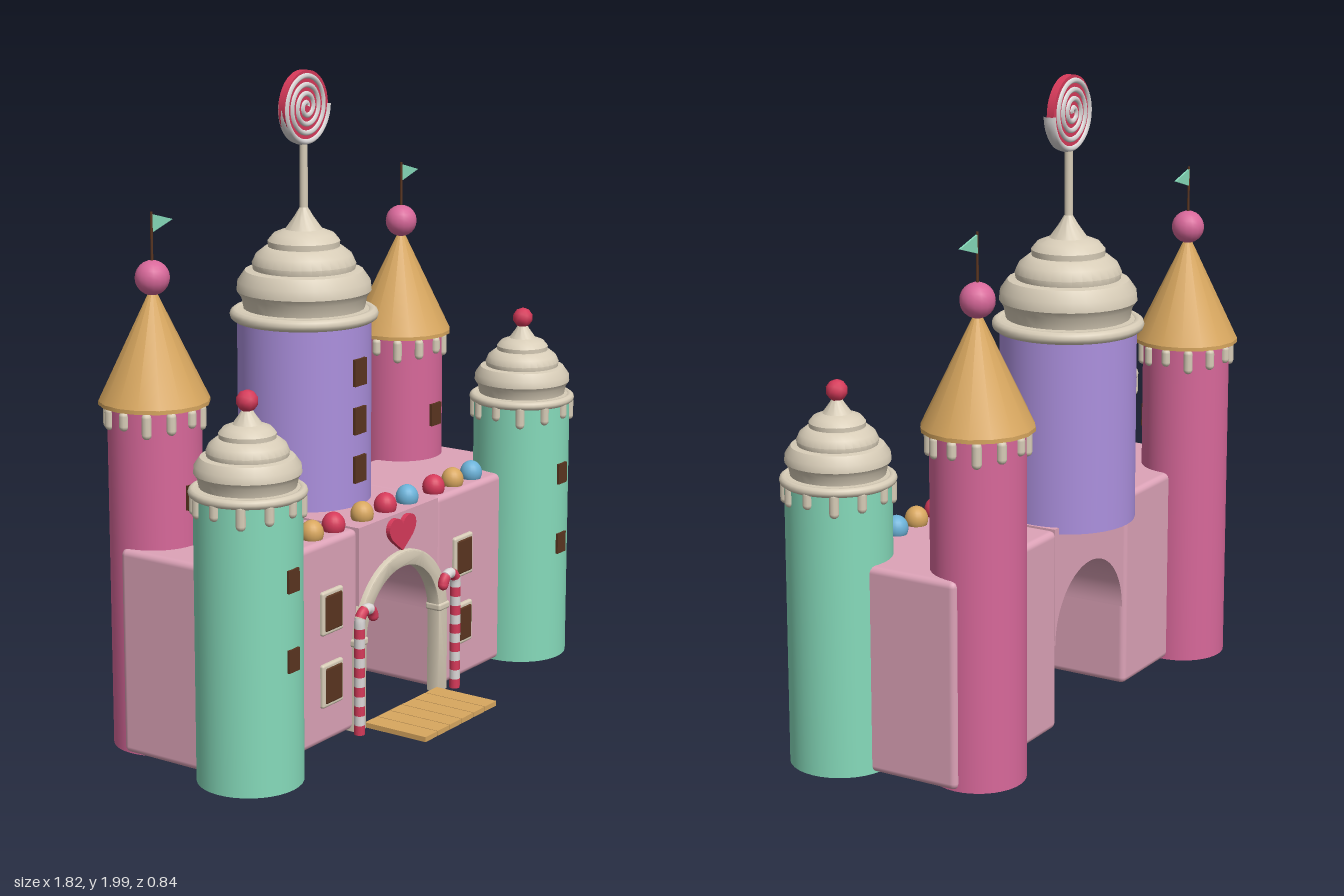
import * as THREE from 'three';
import { toCreasedNormals } from 'three/addons/utils/BufferGeometryUtils.js';
import { RoundedBoxGeometry } from 'three/addons/geometries/RoundedBoxGeometry.js';

const paint = (name, color) => {
  const m = new THREE.MeshStandardMaterial({ color });
  m.name = name;
  return m;
};

export function createModel() {
  const model = new THREE.Group();
  model.name = 'candyCastle';
  const mint = paint('mint', 0x86dbbb), rose = paint('rose', 0xd8689a), wallPink = paint('wallPink', 0xdda3b8);
  const lavender = paint('lavender', 0xac90de), biscuit = paint('biscuit', 0xd8a75f), cream = paint('cream', 0xd8cdb8);
  const chocolate = paint('chocolate', 0x5a3520), red = paint('red', 0xd63a5a);
  const white = paint('white', 0xdcd8d8), blue = paint('blue', 0x6cb2d8);

  const add = (name, geo, mat, x = 0, y = 0, z = 0, parent = model) => {
    const m = new THREE.Mesh(geo, mat);
    m.name = name;
    m.position.set(x, y, z);
    parent.add(m);
    return m;
  };
  const group = (name, x, y, z) => {
    const g = new THREE.Group();
    g.name = name;
    g.position.set(x, y, z);
    model.add(g);
    return g;
  };
  const cyl = (r, h, seg = 32) => new THREE.CylinderGeometry(r, r, h, seg);
  const rbox = (w, h, d, r) => new RoundedBoxGeometry(w, h, d, 2, r);

  // Whipped-icing roof in stepped layers, with a round rim
  const roofProfile = [
    [0, 0], [0.19, 0], [0.197, 0.035], [0.211, 0.055], [0.208, 0.085], [0.185, 0.118], [0.16, 0.122],
    [0.163, 0.14], [0.15, 0.168], [0.122, 0.19], [0.112, 0.192], [0.113, 0.21], [0.095, 0.232],
    [0.07, 0.242], [0.058, 0.246], [0.03, 0.285], [0.012, 0.315], [0, 0.318],
  ].map(([r, y]) => new THREE.Vector2(r, y));
  const roofGeo = toCreasedNormals(new THREE.LatheGeometry(roofProfile, 32), 0.6);
  const rimGeo = new THREE.TorusGeometry(0.214, 0.019, 10, 40).rotateX(Math.PI / 2);
  const icingRoof = (parent, y, scale) => {
    const g = new THREE.Group();
    g.name = 'icingRoof';
    g.position.y = y;
    g.scale.setScalar(scale);
    parent.add(g);
    add('roofLayers', roofGeo, cream, 0, 0.02, 0, g);
    add('roofRim', rimGeo, cream, 0, 0, 0, g);
    add('roofBase', cyl(0.214, 0.03), cream, 0, 0, 0, g);
  };

  // Icing drips around a tower top
  const drips = (parent, radius, y) => {
    for (let i = 0; i < 12; i++) {
      const a = (i / 12) * Math.PI * 2, len = 0.03 + 0.02 * ((i * 2) % 3) / 2;
      add('icingDrip', new THREE.CapsuleGeometry(0.015, len, 4, 10), cream,
        Math.sin(a) * radius, y - len / 2, Math.cos(a) * radius, parent);
    }
  };
  const slit = (parent, w, h, y, r) => add('towerWindow', new THREE.BoxGeometry(w, h, 0.016), chocolate, 0, y, r, parent);

  // Middle tower
  const keep = group('middleTower', 0, 0, -0.18);
  add('towerBody', cyl(0.21, 0.61, 40), lavender, 0, 0.925, 0, keep);
  for (const y of [0.76, 0.915, 1.068]) slit(keep, 0.06, 0.085, y, 0.21);
  icingRoof(keep, 1.23, 1);

  // Lollipop: white spiral wound over a red disc
  const pop = group('lollipop', 0, 1.875, -0.18);
  add('lollipopStick', cyl(0.013, 0.26, 16), cream, 0, -0.235, 0, pop);
  add('lollipopDisc', new THREE.CylinderGeometry(0.112, 0.112, 0.024, 40).rotateX(Math.PI / 2), red, 0, 0, 0, pop);
  const spiral = [];
  for (let i = 0; i <= 140; i++) {
    const t = i / 140, a = t * Math.PI * 2 * 4, r = 0.006 + 0.109 * t;
    spiral.push(new THREE.Vector3(Math.cos(a) * r, Math.sin(a) * r, 0));
  }
  const swirl = new THREE.TubeGeometry(new THREE.CatmullRomCurve3(spiral), 240, 0.0105, 8);
  add('lollipopSwirl', swirl, white, 0, 0, 0, pop).scale.z = 2;

  const flagShape = new THREE.Shape([[0, 0.055], [0, 0], [0.095, 0.028]].map(p => new THREE.Vector2(...p)));
  const flagGeo = new THREE.ExtrudeGeometry(flagShape, { depth: 0.006, bevelEnabled: false });

  for (const s of [-1, 1]) {
    // Front corner towers
    const front = group('frontTower', s * 0.74, 0, 0.165);
    add('towerBody', cyl(0.158, 0.87, 36), mint, 0, 0.435, 0, front);
    for (const y of [0.395, 0.632]) slit(front, 0.05, 0.068, y, 0.156);
    icingRoof(front, 0.872, 0.74);
    drips(front, 0.156, 0.86);
    add('cherry', new THREE.IcosahedronGeometry(0.033, 1), red, 0, 1.135, 0, front);

    // Back corner towers with cone roofs and flags
    const back = group('backTower', s * 0.645, 0, -0.255);
    add('towerBody', cyl(0.14, 1.06, 36), rose, 0, 0.53, 0, back);
    slit(back, 0.055, 0.075, 0.79, 0.139);
    drips(back, 0.14, 1.04);
    add('coneRim', cyl(0.166, 0.012, 16), biscuit, 0, 1.061, 0, back);
    add('coneRoof', new THREE.ConeGeometry(0.166, 0.345, 16), biscuit, 0, 1.239, 0, back);
    add('roofBall', new THREE.SphereGeometry(0.052, 16, 12), rose, 0, 1.43, 0, back);
    add('flagPole', cyl(0.004, 0.16, 8), chocolate, 0, 1.545, 0, back);
    add('flag', flagGeo, mint, 0, 1.563, -0.003, back);

    // Side walls and framed windows
    add('sideWall', rbox(0.585, 0.635, 0.45, 0.02), wallPink, s * 0.5075, 0.3225, -0.045);
    for (const y of [0.19, 0.418]) {
      add('windowFrame', rbox(0.107, 0.137, 0.024, 0.008), cream, s * 0.36, y, 0.18);
      add('windowPane', rbox(0.084, 0.112, 0.012, 0.005), chocolate, s * 0.36, y, 0.19);
    }

    // Striped candy cane, hooked inward over the arch
    const cane = new THREE.CurvePath();
    const top = 0.36, hook = 0.036, straight = new THREE.Vector3(s * 0.265, 0.005, 0.22);
    cane.add(new THREE.LineCurve3(straight, new THREE.Vector3(s * 0.265, top, 0.22)));
    const arc = [];
    for (let i = 0; i <= 8; i++) {
      const a = (i / 8) * Math.PI * 0.95;
      arc.push(new THREE.Vector3(s * (0.229 + hook * Math.cos(a)), top + hook * Math.sin(a), 0.22));
    }
    cane.add(new THREE.CatmullRomCurve3(arc));
    const bands = 15;
    for (let i = 0; i < bands; i++) {
      const pts = [0, 1, 2, 3].map(k => cane.getPointAt((i + k / 3) / bands));
      add('candyCaneBand', new THREE.TubeGeometry(new THREE.CatmullRomCurve3(pts), 5, 0.017, 12), i % 2 ? white : red);
    }
    const tip = cane.getPointAt(1);
    add('candyCaneTip', new THREE.SphereGeometry(0.017, 12, 8), red, tip.x, tip.y, tip.z);
    add('archCapital', rbox(0.06, 0.025, 0.058, 0.008), cream, s * 0.226, 0.285, 0.178);
  }

  // Gatehouse block over the arched passage
  const gate = new THREE.Shape();
  gate.moveTo(-0.217, 0.27);
  gate.lineTo(-0.217, 0.641);
  gate.lineTo(0.217, 0.641);
  gate.lineTo(0.217, 0.27);
  gate.lineTo(0.212, 0.27);
  gate.absarc(0, 0.27, 0.212, 0, Math.PI, false);
  add('gatehouse', toCreasedNormals(new THREE.ExtrudeGeometry(gate, { depth: 0.445, bevelEnabled: false, curveSegments: 32 }), 0.5),
    wallPink, 0, 0, -0.262);

  // Cream arch surround
  const trim = new THREE.Shape();
  trim.moveTo(0.244, 0.006);
  trim.lineTo(0.244, 0.27);
  trim.absarc(0, 0.27, 0.244, 0, Math.PI, false);
  trim.lineTo(-0.244, 0.006);
  trim.lineTo(-0.206, 0.006);
  trim.lineTo(-0.206, 0.27);
  trim.absarc(0, 0.27, 0.206, Math.PI, 0, true);
  trim.lineTo(0.206, 0.006);
  add('archTrim', toCreasedNormals(new THREE.ExtrudeGeometry(trim,
    { depth: 0.036, bevelSize: 0.006, bevelThickness: 0.006, bevelSegments: 2, curveSegments: 32 }), 0.7), cream, 0, 0, 0.16);

  // Heart above the arch
  const heart = new THREE.Shape();
  heart.moveTo(0, -0.055);
  heart.bezierCurveTo(0.03, -0.03, 0.072, -0.01, 0.072, 0.022);
  heart.bezierCurveTo(0.072, 0.06, 0.015, 0.065, 0, 0.03);
  heart.bezierCurveTo(-0.015, 0.065, -0.072, 0.06, -0.072, 0.022);
  heart.bezierCurveTo(-0.072, -0.01, -0.03, -0.03, 0, -0.055);
  add('heart', new THREE.ExtrudeGeometry(heart, { depth: 0.018, bevelEnabled: false }), red, 0, 0.578, 0.18);

  // Gumdrops along the battlement
  const drop = new THREE.SphereGeometry(0.036, 20, 14);
  [[-0.495, blue], [-0.385, biscuit], [-0.275, red], [-0.125, biscuit], [0, red],
    [0.12, blue], [0.27, red], [0.38, biscuit], [0.49, blue]].forEach(([x, mat]) => {
    add('gumdrop', drop, mat, x, 0.658, 0.13).scale.y = 1.1;
  });

  // Wafer drawbridge planks
  for (let i = 0; i < 6; i++) {
    add('bridgePlank', new THREE.BoxGeometry(0.064, 0.016, 0.225), biscuit, (i - 2.5) * 0.0672, 0.01, 0.307);
  }
  return model;
}
